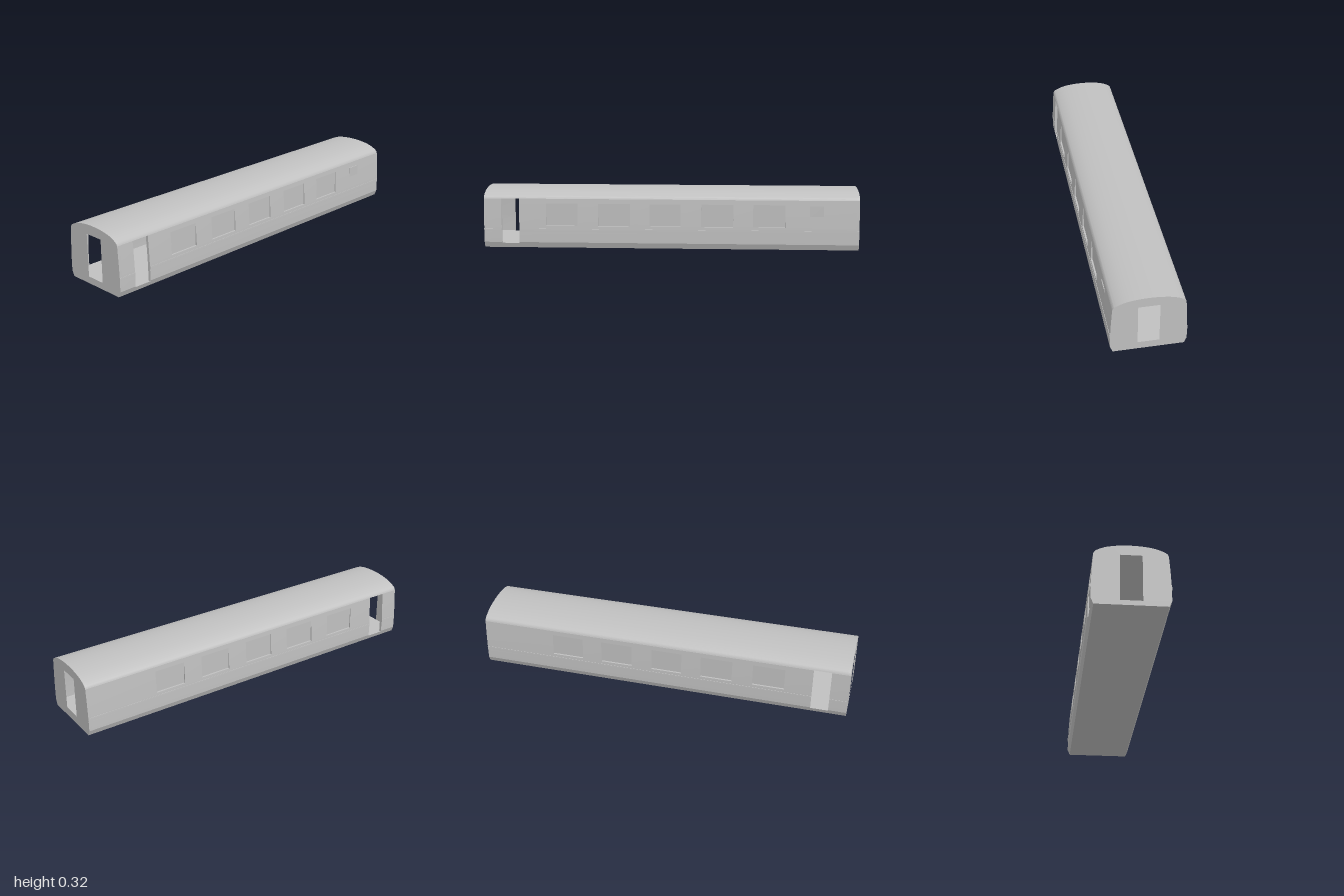
import * as THREE from 'three';
import { toCreasedNormals } from 'three/addons/utils/BufferGeometryUtils.js';

const T = 0.015; // shell thickness
const END = 1 - T; // inner face of the end walls
const FLOOR = 0.025, WAIST = 0.12, HEAD = 0.24, EAVE = 0.265;
const DOOR = [-0.905, -0.81];
const WINDOWS = [[-0.665, -0.495], [-0.385, -0.215], [-0.11, 0.055], [0.165, 0.335], [0.44, 0.61]];

// side outline as [half width, height]
const SIDE = [[0.175, 0], [0.188, 0.03], [0.188, 0.1], [0.184, 0.18], [0.178, EAVE]];

function halfWidth(y) {
  for (let i = 1; i < SIDE.length; i++) {
    const [z0, y0] = SIDE[i - 1], [z1, y1] = SIDE[i];
    if (y <= y1) return z0 + (z1 - z0) * (y - y0) / (y1 - y0);
  }
  return SIDE[SIDE.length - 1][0];
}

// roof arc from the +z eave to the -z eave, as [z, y]
function roofArc(inset) {
  const half = [[0.178, EAVE], [0.172, 0.277], [0.155, 0.2885], [0.12, 0.3025], [0.065, 0.3125], [0, 0.316]];
  const all = [...half, ...half.slice(0, -1).reverse().map(([z, y]) => [-z, y])];
  const curve = new THREE.CatmullRomCurve3(
    all.map(([z, y]) => new THREE.Vector3(z * (1 - inset / 0.178), inset ? Math.max(EAVE, y - inset) : y, 0)),
    false, 'centripetal');
  return curve.getPoints(36).map(p => [p.x, p.y]);
}

export function createModel() {
  const group = new THREE.Group();
  const grey = new THREE.MeshStandardMaterial({ color: 0xc0c0c0 });
  grey.name = 'body grey';

  const add = (name, geometry) => {
    const mesh = new THREE.Mesh(geometry, grey);
    mesh.name = name;
    group.add(mesh);
  };

  // extrude a [z, y] cross-section along x
  const alongX = (name, section, x0, x1, hole) => {
    const toPoints = list => list.map(([z, y]) => new THREE.Vector2(-z, y));
    const shape = new THREE.Shape(toPoints(section));
    if (hole) shape.holes.push(new THREE.Path(toPoints(hole)));
    const geometry = new THREE.ExtrudeGeometry(shape, { depth: x1 - x0, bevelEnabled: false });
    geometry.rotateY(Math.PI / 2).translate(x0, 0, 0);
    add(name, toCreasedNormals(geometry, 0.3));
  };

  // strip of side wall following the outline between two heights
  const wall = (name, s, x0, x1, y0, y1, inner = -T, outer = 0) => {
    const ys = [y0, ...SIDE.map(p => p[1]).filter(y => y > y0 && y < y1), y1];
    alongX(name, [
      ...ys.map(y => [s * (halfWidth(y) + outer), y]),
      ...ys.reverse().map(y => [s * (halfWidth(y) + inner), y]),
    ], x0, x1);
  };

  // floor and roof
  const w = halfWidth(FLOOR);
  alongX('floor', [[0.175, 0], [w, FLOOR], [-w, FLOOR], [-0.175, 0]], -END, END);
  alongX('roof', [...roofArc(0), ...roofArc(T).reverse()], -END, END);

  // end walls with gangway openings
  const outline = [
    ...SIDE.slice(0, -1), ...roofArc(0),
    ...SIDE.slice(0, -1).reverse().map(([z, y]) => [-z, y]),
  ];
  const opening = [[-0.053, FLOOR], [0.054, FLOOR], [0.054, 0.264], [-0.053, 0.264]];
  alongX('rightEndWall', outline, -1, -END, opening);
  alongX('leftEndWall', outline, END, 1, opening);

  for (const [s, label] of [[1, 'front'], [-1, 'back']]) {
    // wall either side of the doorway, above and below the windows
    for (const [x0, x1] of [[-END, DOOR[0]], [DOOR[1], END]]) {
      wall(label + 'LowerWall', s, x0, x1, FLOOR, WAIST);
      wall(label + 'UpperWall', s, x0, x1, HEAD, EAVE);
    }
    // pillars between the windows
    const gaps = [-END, ...DOOR, ...WINDOWS.flat(), END];
    for (let i = 0; i < gaps.length; i += 2) wall(label + 'Pillar', s, gaps[i], gaps[i + 1], WAIST, HEAD);

    // upright window panes set into the sloping wall
    for (const [x0, x1] of WINDOWS) {
      const pane = new THREE.BoxGeometry(x1 - x0, HEAD - WAIST, 0.008);
      add(label + 'WindowPane', pane.translate((x0 + x1) / 2, (WAIST + HEAD) / 2, s * 0.174));
    }
    // raised waist moulding, broken at the doorway
    for (const [x0, x1] of [[-1, DOOR[0]], [DOOR[1], 1]]) {
      wall(label + 'Moulding', s, x0, x1, 0.088, 0.104, -0.004, 0.002);
    }
  }

  // small upright window on the front only
  add('smallWindow', new THREE.BoxGeometry(0.073, 0.065, 0.009).translate(0.775, 0.2025, 0.1795));

  return group;
}
